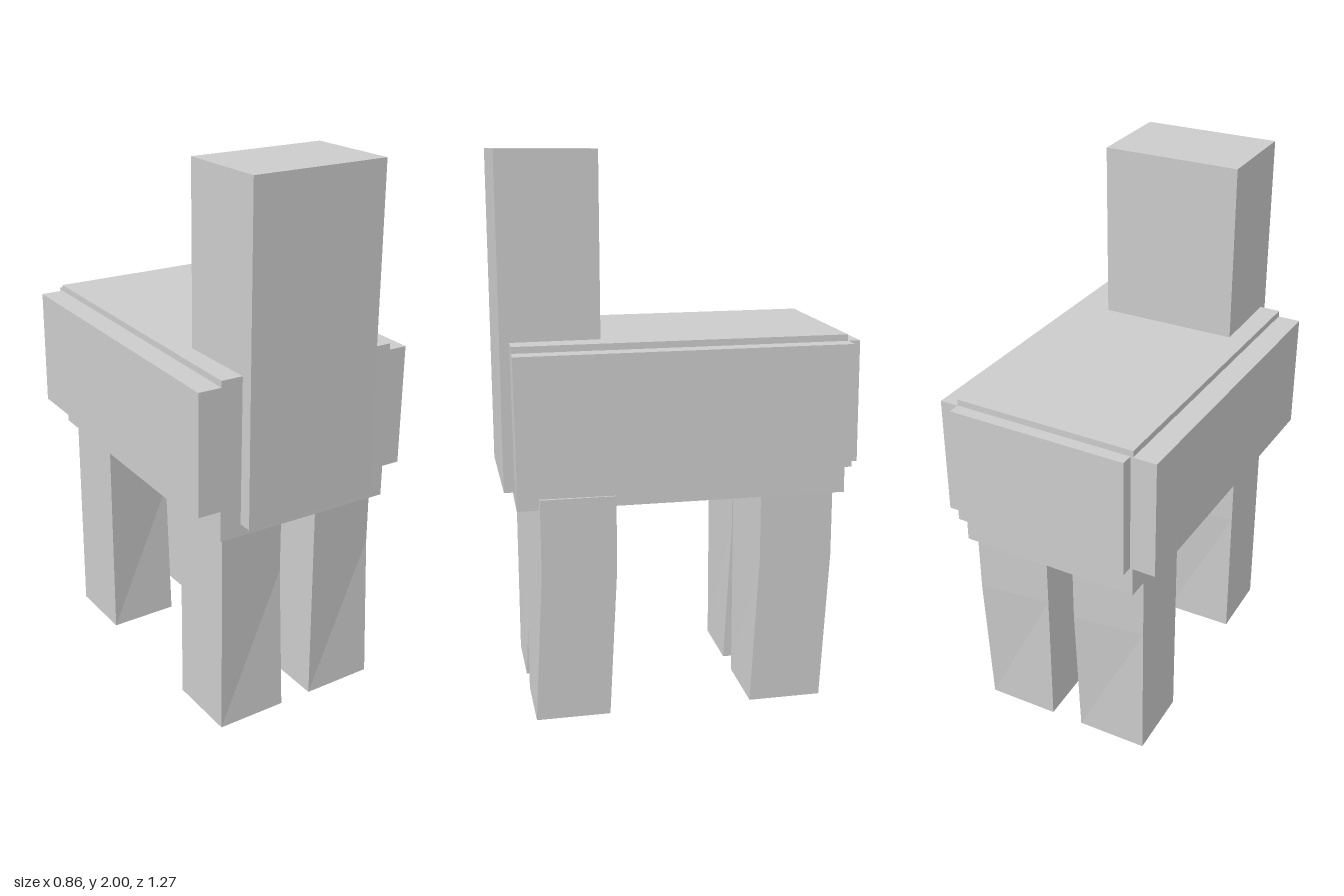
import * as THREE from 'three';

const material = new THREE.MeshStandardMaterial({ color: 0xcccccc, flatShading: true });

// Box given by its lower and upper limits on each axis
function block(name, [x0, x1], [y0, y1], [z0, z1], ySegments = 1) {
  const geometry = new THREE.BoxGeometry(x1 - x0, y1 - y0, z1 - z0, 1, ySegments, 1);
  geometry.translate((x0 + x1) / 2, (y0 + y1) / 2, (z0 + z1) / 2);
  const mesh = new THREE.Mesh(geometry, material);
  mesh.name = name;
  return mesh;
}

// Leg whose upper part has its +x side pushed slightly backward, easing out towards the foot
function leg(name, xRange, zRange) {
  const kneeY = 0.55;
  const mesh = block(name, xRange, [0, 0.82], zRange, 2);
  const p = mesh.geometry.attributes.position;
  const middleX = (xRange[0] + xRange[1]) / 2;
  for (let i = 0; i < p.count; i++) {
    // The middle ring of vertices becomes the knee
    if (Math.abs(p.getY(i) - 0.41) < 0.01) p.setY(i, kneeY);
    if (p.getX(i) > middleX) p.setZ(i, p.getZ(i) - 0.03 * Math.min(1, p.getY(i) / kneeY));
  }
  mesh.geometry.computeVertexNormals();
  return mesh;
}

export function createModel() {
  const model = new THREE.Group();
  model.name = 'blockAnimal';

  // Neck and head in one upright block
  model.add(block('neckAndHead', [-0.265, 0.245], [0.825, 2], [0.287, 0.635]));

  // Body with fleece slabs, turned and pitched very slightly
  const body = new THREE.Group();
  body.name = 'body';
  body.add(
    block('torso', [-0.33, 0.345], [-0.285, 0.29], [-0.583, 0.593]),
    block('rightFleece', [-0.415, -0.322], [-0.172, 0.267], [-0.585, 0.593]),
    block('leftFleece', [0.342, 0.414], [-0.172, 0.267], [-0.585, 0.593]),
    block('rearFleece', [-0.32, 0.345], [-0.172, 0.267], [-0.628, -0.58])
  );
  body.position.y = 1.07;
  body.rotation.set(0.008, -0.0235, 0);
  model.add(body);

  // Four legs
  for (const [side, xRange] of [['Right', [-0.315, -0.05]], ['Left', [0.075, 0.345]]]) {
    model.add(leg('front' + side + 'Leg', xRange, [0.283, 0.55]));
    model.add(leg('rear' + side + 'Leg', xRange, [-0.508, -0.24]));
  }
  return model;
}
